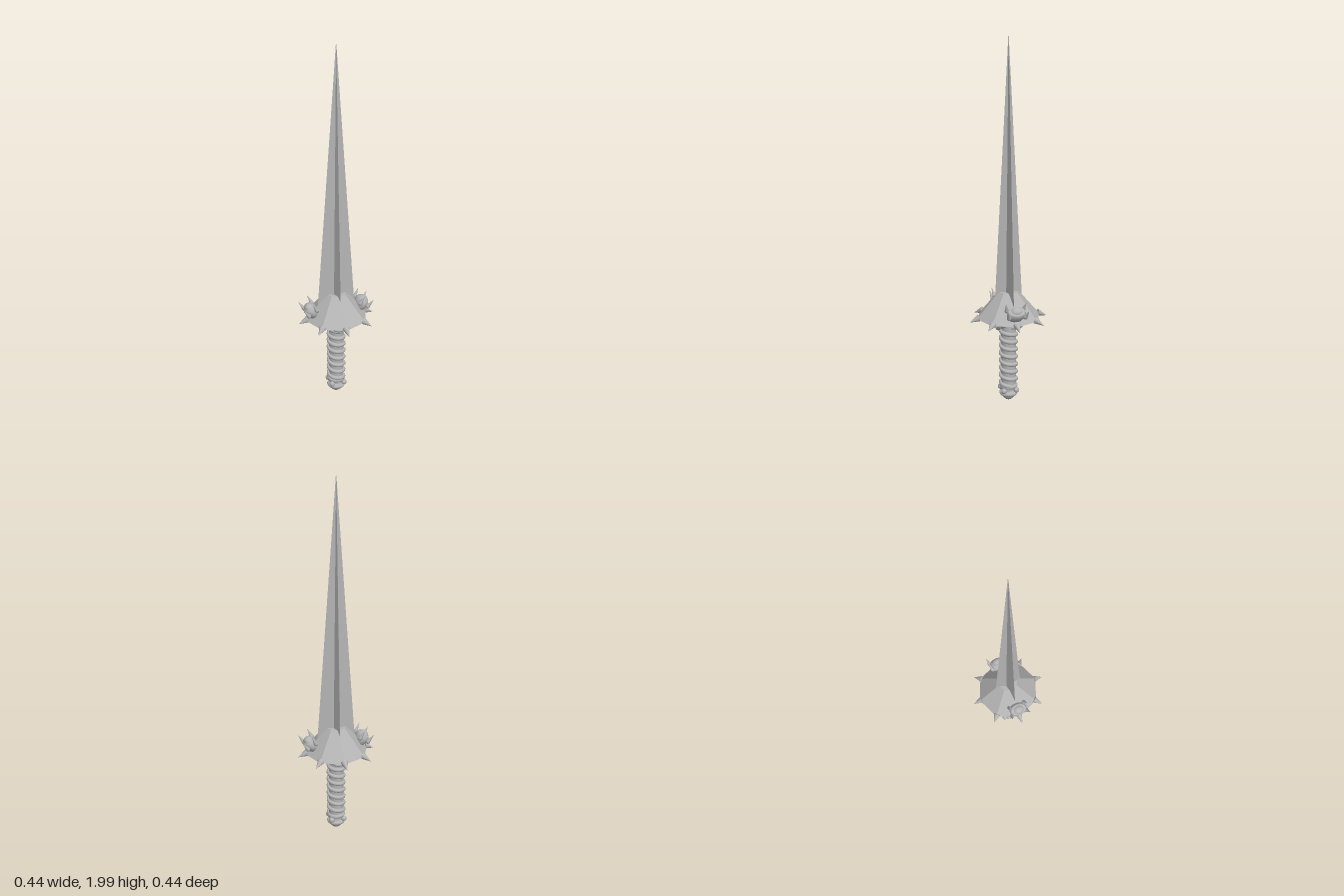
import * as THREE from 'three';

const steel = new THREE.MeshStandardMaterial({ color: 0xb4b4b4 });
steel.name = 'grey steel';

// Faceted copy of a geometry
function faceted(geometry) {
  const g = geometry.index ? geometry.toNonIndexed() : geometry;
  g.computeVertexNormals();
  return g;
}

function add(parent, name, geometry, x = 0, y = 0, z = 0) {
  const mesh = new THREE.Mesh(geometry, steel);
  mesh.name = name;
  mesh.position.set(x, y, z);
  parent.add(mesh);
  return mesh;
}

const lathe = (pts, sides) =>
  new THREE.LatheGeometry(pts.map(([r, y]) => new THREE.Vector2(r, y)), sides);

// Cone running from one point to another
function spike(parent, name, from, to, radius, sides = 12) {
  const a = new THREE.Vector3(...from), b = new THREE.Vector3(...to);
  const dir = b.clone().sub(a);
  const mesh = add(parent, name, new THREE.ConeGeometry(radius, dir.length(), sides));
  mesh.position.copy(a).add(b).multiplyScalar(0.5);
  mesh.quaternion.setFromUnitVectors(new THREE.Vector3(0, 1, 0), dir.normalize());
}

// Tapering blade with a four-pointed star section
function makeBlade() {
  const bottom = 0.56, top = 1.99;
  const g = new THREE.CylinderGeometry(1, 1, top - bottom, 8, 1);
  const p = g.attributes.position;
  for (let i = 0; i < p.count; i++) {
    const x = p.getX(i), z = p.getZ(i), tip = p.getY(i) > 0;
    const k = Math.hypot(x, z) < 0.5 ? 0 : tip ? 0.012 : 1;
    let nx = 0.019 * Math.sign(x), nz = 0.019 * Math.sign(z);
    if (Math.abs(z) < 0.1) { nx = 0.107 * Math.sign(x); nz = 0; }
    else if (Math.abs(x) < 0.1) { nx = 0; nz = 0.078 * Math.sign(z); }
    p.setXYZ(i, nx * k, tip ? top : bottom, nz * k);
  }
  return faceted(g);
}

// Clawed bud sitting on one slope of the guard, its axis along +y
function makeBud(side) {
  const bud = new THREE.Group();
  bud.name = side > 0 ? 'leftBud' : 'rightBud';
  const cup = add(bud, 'cup', lathe([[0, -0.04], [0.03, -0.04], [0.042, -0.01], [0.045, 0.015], [0.036, 0.03], [0, 0.032]], 20));
  cup.scale.set(0.8, 1, 1.15);
  const gem = add(bud, 'gem', new THREE.SphereGeometry(0.03, 20, 12), 0, 0.02, 0);
  gem.scale.set(0.9, 0.9, 1.1);
  for (const sx of [-1, 1]) for (const sz of [-1, 1]) {
    spike(bud, 'claw', [sx * 0.026, 0.005, sz * 0.045], [sx * 0.03, 0.06, sz * 0.056], 0.012, 8);
    const knuckle = add(bud, 'knuckle', new THREE.SphereGeometry(0.012, 10, 8), sx * 0.026, 0.008, sz * 0.045);
    knuckle.scale.y = 1.3;
  }
  bud.position.set(side * 0.146, 0.548, 0);
  bud.rotation.z = -side * 0.55;
  return bud;
}

export function createModel() {
  const dagger = new THREE.Group();
  dagger.name = 'dagger';
  add(dagger, 'blade', makeBlade());

  // Eight-sided guard
  add(dagger, 'guard', faceted(lathe(
    [[0, 0.455], [0.06, 0.455], [0.178, 0.49], [0.055, 0.635], [0, 0.635]], 8)));
  for (let i = 0; i < 8; i++) {
    const a = i * Math.PI / 4, s = Math.sin(a), c = Math.cos(a);
    spike(dagger, 'guardSpike', [s * 0.165, 0.497, c * 0.165], [s * 0.219, 0.474, c * 0.219], 0.02);
  }
  dagger.add(makeBud(1), makeBud(-1));

  // Collar barrel lying front to back under the guard
  const barrel = add(dagger, 'collarBarrel', new THREE.CylinderGeometry(0.045, 0.045, 0.13, 24), 0, 0.47, 0);
  barrel.rotation.x = Math.PI / 2;
  for (const s of [-1, 1]) {
    add(dagger, 'collarRing', new THREE.TorusGeometry(0.042, 0.011, 8, 28), 0, 0.47, s * 0.062);
    const boss = add(dagger, 'collarBoss', new THREE.SphereGeometry(0.028, 16, 10), 0, 0.47, s * 0.063);
    boss.scale.z = 0.4;
  }

  // Grip core and spiral wrap
  add(dagger, 'gripCore', new THREE.CylinderGeometry(0.041, 0.041, 0.41, 24), 0, 0.255, 0);
  const helix = [];
  const turns = 8;
  for (let i = 0; i <= turns * 12; i++) {
    const t = i / (turns * 12), a = t * turns * Math.PI * 2;
    helix.push(new THREE.Vector3(Math.cos(a) * 0.042, 0.09 + t * 0.35, Math.sin(a) * 0.042));
  }
  add(dagger, 'gripWrap', new THREE.TubeGeometry(new THREE.CatmullRomCurve3(helix), 280, 0.012, 8));

  // Pommel: rings, corner studs and a rounded end
  for (const y of [0.085, 0.042]) {
    const ring = add(dagger, 'pommelRing', new THREE.TorusGeometry(0.04, 0.012, 8, 28), 0, y, 0);
    ring.rotation.x = Math.PI / 2;
  }
  for (let i = 0; i < 4; i++) {
    const a = (i + 0.5) * Math.PI / 2;
    add(dagger, 'pommelStud', new THREE.SphereGeometry(0.016, 12, 8), Math.sin(a) * 0.05, 0.065, Math.cos(a) * 0.05);
  }
  add(dagger, 'pommelEnd', lathe(
    [[0, 0], [0.018, 0.004], [0.032, 0.017], [0.04, 0.036], [0.042, 0.06], [0, 0.065]], 24));
  return dagger;
}
